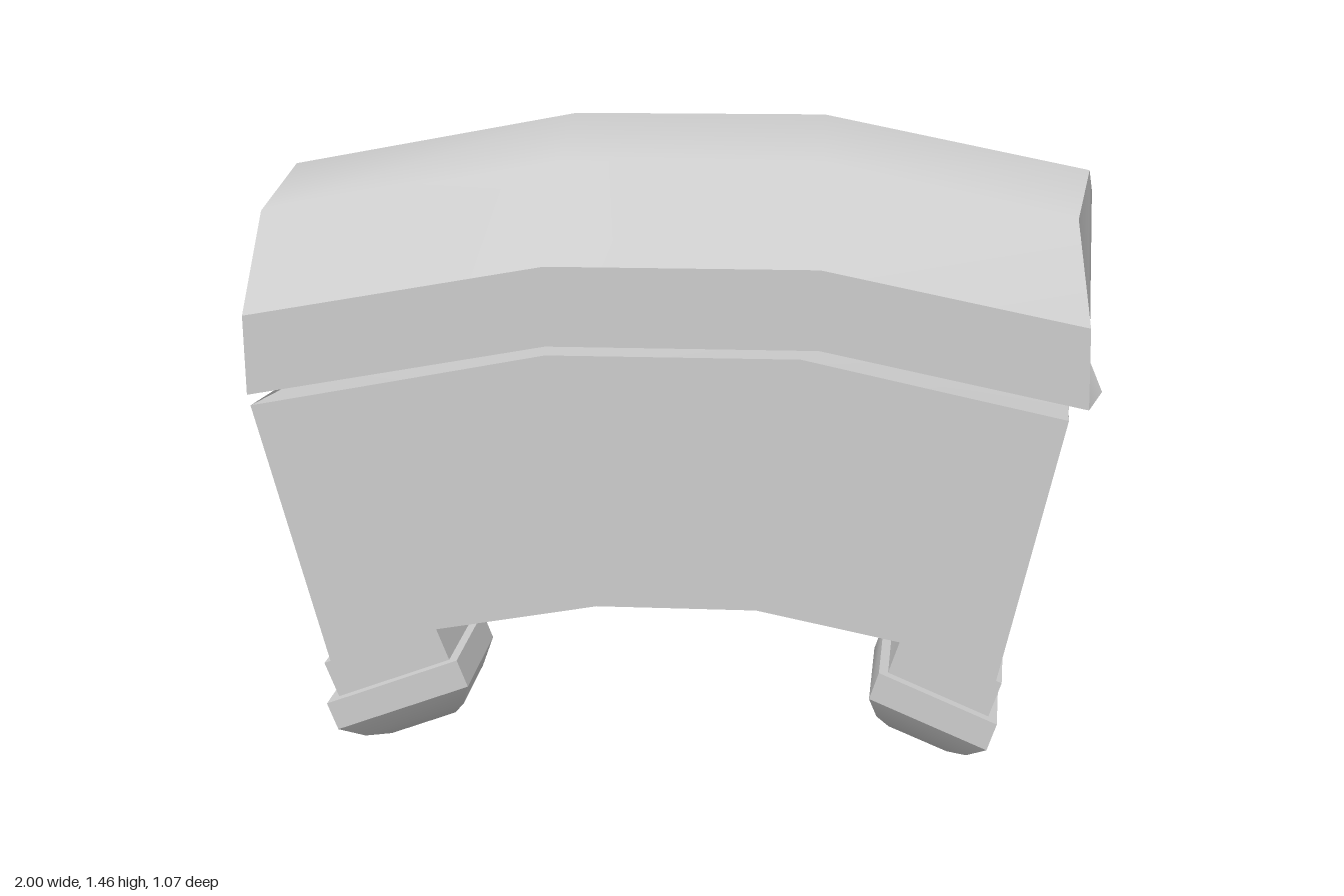
import * as THREE from 'three';
import { toCreasedNormals } from 'three/addons/utils/BufferGeometryUtils.js';

const material = new THREE.MeshStandardMaterial({ color: 0xcccccc });

// Skin a row of equal-sized convex rings of [x, y, z] points and cap both ends.
function loft(name, rings, crease = 0.64) {
  const n = rings[0].length;
  const tris = [];
  for (let r = 0; r < rings.length - 1; r++) {
    for (let i = 0; i < n; i++) {
      const j = (i + 1) % n;
      const [a, b, c, d] = [rings[r][i], rings[r][j], rings[r + 1][j], rings[r + 1][i]];
      tris.push([a, b, c], [a, c, d]);
    }
  }
  const first = rings[0], last = rings[rings.length - 1];
  for (let i = 1; i < n - 1; i++) {
    tris.push([first[0], first[i + 1], first[i]], [last[0], last[i], last[i + 1]]);
  }
  // Signed volume tells whether the faces point outwards
  let volume = 0;
  for (const t of tris) {
    const [a, b, c] = t.map((p) => new THREE.Vector3(...p));
    volume += a.dot(b.cross(c));
  }
  if (volume < 0) tris.forEach((t) => t.reverse());
  const geometry = new THREE.BufferGeometry();
  geometry.setAttribute('position', new THREE.Float32BufferAttribute(tris.flat(2), 3));
  const mesh = new THREE.Mesh(toCreasedNormals(geometry, crease), material);
  mesh.name = name;
  return mesh;
}

// The right half of the chest gets shorter towards the front.
const skew = ([x, y, z]) => {
  const t = (z + 0.46) / 0.97;
  return x > 0 ? [x * (0.98 - 0.11 * t), y, z] : [x, y, z];
};

// Arched body: wide sagging top, narrower arched bottom
function makeBody() {
  // top x, front top y, back top y, bottom x, bottom y
  const stations = [
    [1, 0.84, 0.8, 0.84, 0.2],
    [0.68, 0.9, 0.87, 0.59, 0.3],
    [0.31, 0.97, 0.95, 0.2, 0.37],
  ];
  const ring = (side) => ([tx, fy, by, bx, y]) => [
    [side * tx, fy, 0.51],
    [side * tx, by, 0.0],
    [side * tx, by, -0.46],
    [side * bx, y, -0.46],
    [side * bx, y, 0.51],
  ].map(skew);
  return loft('body', [...stations.map(ring(-1)), ...stations.map(ring(1)).reverse()]);
}

// Domed lid, drooping at both ends
function makeLid() {
  const endProfile = [
    [0.53, 0.87], [0.53, 1.055], [0.35, 1.27], [0.05, 1.347],
    [-0.25, 1.26], [-0.425, 1.05], [-0.425, 0.87], [0.11, 0.812],
  ];
  const midProfile = [
    [0.508, 0.99], [0.508, 1.173], [0.25, 1.382], [-0.055, 1.467],
    [-0.36, 1.382], [-0.538, 1.173], [-0.538, 0.99], [-0.02, 0.935],
  ];
  const slantedX = [0.91, 0.905, 0.89, 0.95, 1, 1, 1, 1];
  const ring = (profile, x) => profile.map(([z, y], i) => [Array.isArray(x) ? x[i] : x, y, z]);
  return loft('lid', [
    ring(endProfile, -1),
    ring(midProfile, -0.31),
    ring(midProfile, 0.31),
    ring(endProfile, slantedX),
  ]);
}

// Leg post and bevelled foot, tilted to follow the arch
function makeLeg(side, z0, z1) {
  const angle = 0.36, length = 0.34;
  const c = Math.cos(angle), s = Math.sin(angle);
  // along: from outside to inside; depth: away from the body
  const place = (along, depth, z) => skew([
    side * (0.85 - along * c - depth * s),
    0.114 + along * s - depth * c,
    z,
  ]);
  const ring = (depth, inset, insetZ = inset) => [
    place(inset, depth, z0 + insetZ),
    place(length - inset, depth, z0 + insetZ),
    place(length - inset, depth, z1 - insetZ),
    place(inset, depth, z1 - insetZ),
  ];
  const leg = new THREE.Group();
  leg.name = 'leg';
  leg.add(
    loft('post', [ring(-0.09, 0.025), ring(0.02, 0.025)]),
    loft('foot', [ring(0, 0), ring(0.07, 0), ring(0.12, 0.04), ring(0.15, 0.085)]),
  );
  return leg;
}

export function createModel() {
  const chest = new THREE.Group();
  chest.name = 'chest';
  chest.add(makeBody(), makeLid());
  for (const side of [-1, 1]) {
    chest.add(makeLeg(side, 0.215, 0.535), makeLeg(side, -0.485, -0.185));
  }
  return chest;
}
